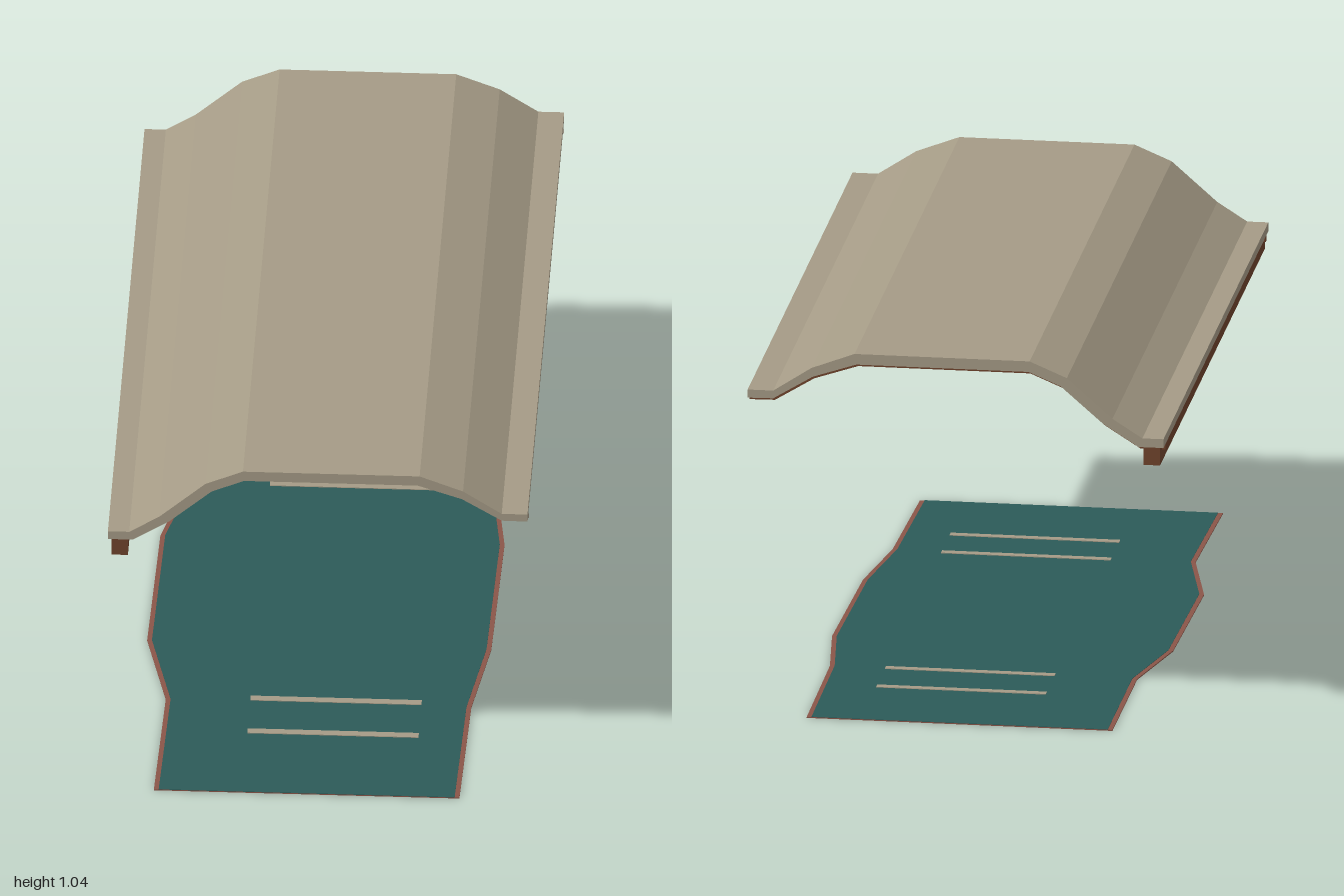
import * as THREE from 'three';

const material = (name, color) => {
  const m = new THREE.MeshStandardMaterial({ color });
  m.name = name;
  return m;
};

export function createModel() {
  const group = new THREE.Group();
  const beige = material('beige panel', 0xa59b86);
  const brown = material('brown timber', 0x6f432c);
  const redBrown = material('red-brown edging', 0x8a5548);
  const teal = material('teal mat', 0x2c5a58);

  const add = (name, geometry, mat, x = 0, y = 0, z = 0) => {
    const mesh = new THREE.Mesh(geometry, mat);
    mesh.name = name;
    mesh.position.set(x, y, z);
    group.add(mesh);
    return mesh;
  };
  const extrude = (points, depth) => new THREE.ExtrudeGeometry(
    new THREE.Shape(points.map(([x, y]) => new THREE.Vector2(x, y))),
    { depth, bevelEnabled: false });

  // Canopy cross-section: outer line, inner line and lower line of the ribs
  const outer = [[-0.57, 0.835], [-0.512, 0.835], [-0.43, 0.887], [-0.305, 0.997], [-0.203, 1.04],
    [0.277, 1.04], [0.395, 0.995], [0.5, 0.926], [0.57, 0.926]];
  const inner = [[-0.57, 0.81], [-0.502, 0.81], [-0.405, 0.871], [-0.288, 0.973], [-0.2, 1.01],
    [0.272, 1.01], [0.392, 0.97], [0.5, 0.904], [0.57, 0.903]];
  const lower = inner.map(([x, y]) => [x, y - 0.015]);
  add('canopyPanel', extrude([...inner, ...outer.slice().reverse()], 2), beige, 0, 0, -1);

  // Ribs under both ends
  const ribShape = [...lower, ...inner.slice().reverse()];
  for (const s of [-1, 1]) {
    add(s > 0 ? 'frontRib' : 'backRib', extrude(ribShape, 0.016), brown, 0, 0, s * 0.957 - 0.008);
  }

  // Beam along the low edge
  add('edgeBeam', new THREE.BoxGeometry(0.045, 0.05, 2), brown, -0.538, 0.785, 0);

  // Grips on the underside
  for (const z of [-0.68, 0, 0.68]) {
    add('grip', new THREE.BoxGeometry(0.034, 0.018, 0.145), beige, -0.459, 0.833, z);
  }

  // Floor mat with wavy long sides: [z, right x, left x]
  const rows = [[1, -0.445, 0.385], [0.55, -0.435, 0.395], [0.26, -0.5, 0.435],
    [-0.26, -0.49, 0.445], [-0.53, -0.43, 0.412], [-1, -0.43, 0.408]];
  const matGeometry = (inset, thickness) => {
    const side = (i, sign) => rows.map((r) => [r[i] + sign * inset, -r[0]]);
    return extrude([...side(2, -1), ...side(1, 1).reverse()], thickness).rotateX(-Math.PI / 2);
  };
  add('matBase', matGeometry(0, 0.003), redBrown);
  add('matTop', matGeometry(0.013, 0.001), teal, 0, 0.003, 0);

  // Pale strips on the mat
  for (const z of [0.7, 0.537, -0.53, -0.7]) {
    add('matStrip', new THREE.BoxGeometry(0.465, 0.002, 0.022), beige, 0.027, 0.005, z);
  }
  return group;
}
